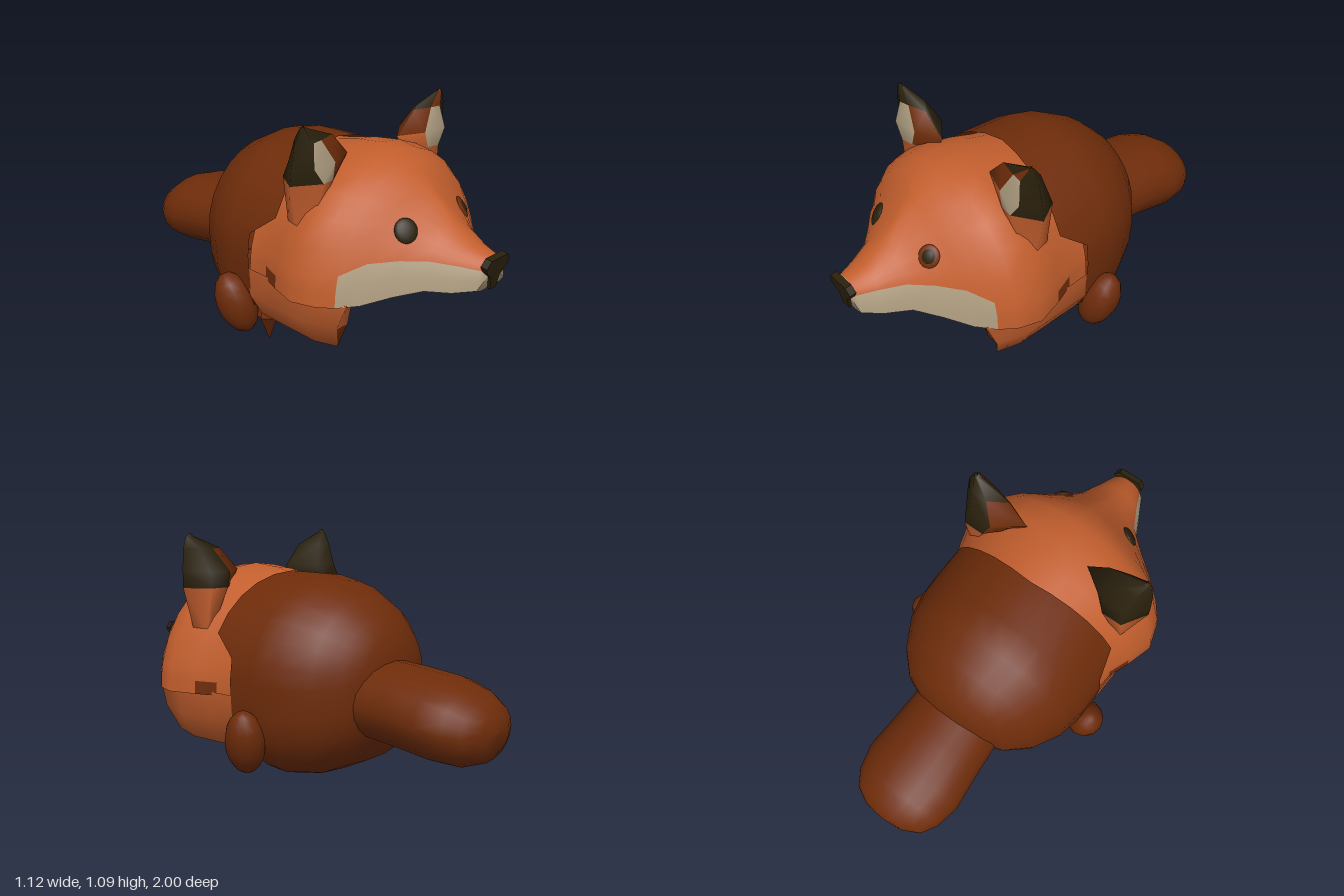
import * as THREE from 'three';

const paint = (name, color) => {
  const m = new THREE.MeshStandardMaterial({ color, side: THREE.DoubleSide });
  m.name = name;
  return m;
};
const MATS = [
  paint('orangeFur', 0xc25e2d),
  paint('brownFur', 0x6e2c0a),
  paint('darkFur', 0x2a200c),
  paint('creamFur', 0xae9d80),
];
const ORANGE = 0, BROWN = 1, DARK = 2, CREAM = 3;
const lerp = THREE.MathUtils.lerp;

// Skins a list of cross-sections; pick(row, column) chooses the colour of each quad
function loft(name, rows, pick, closed = true) {
  const n = rows[0].length, cols = closed ? n : n - 1;
  const lists = MATS.map(() => []);
  for (let i = 0; i < rows.length - 1; i++) {
    for (let j = 0; j < cols; j++) {
      const k = (j + 1) % n, a = i * n + j, b = i * n + k;
      lists[pick(i, j)].push(a, b, a + n, b, b + n, a + n);
    }
  }
  const geo = new THREE.BufferGeometry();
  geo.setAttribute('position', new THREE.Float32BufferAttribute(rows.flat(2), 3));
  geo.setIndex(lists.flat());
  let start = 0;
  lists.forEach((list, m) => {
    if (list.length) geo.addGroup(start, list.length, m);
    start += list.length;
  });
  geo.computeVertexNormals();
  const mesh = new THREE.Mesh(geo, MATS);
  mesh.name = name;
  return mesh;
}

// Rounded section at z; a lower power makes the underside squarer
function ring(z, w, top, bottom, power = 1, count = 28) {
  const mid = (top + bottom) / 2, h = (top - bottom) / 2;
  return Array.from({ length: count }, (_, j) => {
    const a = (j / count) * Math.PI * 2, c = Math.cos(a), s = Math.sin(a);
    const p = s < 0 ? power : 1;
    return [w * Math.sign(c) * Math.abs(c) ** p, mid + h * Math.sign(s) * Math.abs(s) ** p, z];
  });
}

function makeBody() {
  const rows = [
    [-0.49, 0, 0.48, 0.48], [-0.485, 0.09, 0.58, 0.38], [-0.465, 0.18, 0.66, 0.29], [-0.42, 0.28, 0.74, 0.19],
    [-0.33, 0.37, 0.82, 0.09], [-0.2, 0.44, 0.885, 0.03], [-0.08, 0.465, 0.91, 0.008],
  ].map(([z, w, t, b]) => ring(z, w, t, b, 0.72));
  // Open front rim: furthest forward over the top, cut back underneath
  const rimZ = (x, y) => (y > 0.64 ? 0.135 + 0.1 * Math.abs(x) : y > 0.15 ? 0.05 : -0.03);
  rows.push(ring(0, 0.468, 0.912, 0.012, 0.72).map(([x, y]) => [x, y, rimZ(x, y)]));
  return loft('body', rows, () => BROWN);
}

function makeTail() {
  const rows = [
    [-1, 0, 0.33, 0.33], [-0.99, 0.1, 0.4, 0.25], [-0.95, 0.18, 0.45, 0.2], [-0.88, 0.225, 0.495, 0.175],
    [-0.77, 0.25, 0.53, 0.177], [-0.6, 0.235, 0.55, 0.195], [-0.42, 0.225, 0.565, 0.21],
  ].map(([z, w, t, b]) => ring(z, w, t, b, 1, 20));
  return loft('tail', rows, () => BROWN);
}

// Domed head running into the snout; one column follows the top of the pale cheek
function makeHead() {
  const rows = [ // z, half width, top, cheek base, cheek top, underside, pinch of the upper face
    [0.04, 0.45, 0.885, 0.385, 0.5, 0.44, 1],
    [0.15, 0.46, 0.905, 0.385, 0.5, 0.44, 1],
    [0.25, 0.5, 0.925, 0.385, 0.5, 0.44, 1],
    [0.38, 0.54, 0.938, 0.385, 0.5, 0.44, 1],
    [0.48, 0.51, 0.925, 0.385, 0.5, 0.44, 1],
    [0.55, 0.46, 0.895, 0.385, 0.52, 0.44, 1.1],
    [0.62, 0.39, 0.835, 0.395, 0.565, 0.435, 1.35],
    [0.7, 0.29, 0.765, 0.425, 0.57, 0.425, 1.6],
    [0.78, 0.19, 0.69, 0.445, 0.565, 0.425, 1.25],
    [0.88, 0.14, 0.625, 0.453, 0.56, 0.44, 1],
    [0.965, 0.095, 0.6, 0.475, 0.555, 0.465, 1],
  ].map(([z, w, top, base, cheek, under, pinch]) => {
    const h = top - base, a1 = Math.asin((cheek - base) / h);
    const angles = [0, a1 / 2];
    for (let k = 0; k <= 6; k++) angles.push(lerp(a1, Math.PI / 2, k / 6));
    const half = angles.map((a) => [w * Math.abs(Math.cos(a)) ** pinch, base + h * Math.sin(a), z]);
    const other = half.slice(0, -1).reverse().map(([x, y]) => [-x, y, z]);
    // the corner points are doubled to keep the lower edge crisp
    const below = [[-w, base, z], [-0.7 * w, under, z], [0, under, z], [0.7 * w, under, z], [w, base, z]];
    return [...half, ...other, ...below];
  });
  rows.push(rows[0].map(() => [0, 0.54, 0.975]));
  const arc = 16; // columns above the underside
  return loft('head', rows, (i, j) => {
    if (i === rows.length - 2) return CREAM;
    if (j >= arc) return i < 5 && (j === arc + 1 || j === arc + 4) ? BROWN : DARK;
    if (i === 1 && (j === 0 || j === arc - 1)) return BROWN;
    return i >= 5 && (j < 2 || j >= arc - 2) ? CREAM : ORANGE;
  });
}

// Lower jaw: two cheek flaps reach forward, the floor between them stays far back
function makeJaw() {
  const mirror = (half) => [
    ...half.map(([x, y, z]) => [-x, y, z]),
    ...half.slice(0, -1).reverse(),
  ];
  const side = (z, s, floor) => mirror([
    [0.48 * s, 0.4, z], [0.475 * s, 0.27, z], [0.4 * s, 0.15, z], [0.28, 0.142, floor + 0.02], [0, 0.14, floor],
  ]);
  const rows = [
    side(0.04, 0.96, 0.02), side(0.2, 0.98, 0.05), side(0.38, 1, 0.08),
    mirror([[0.43, 0.4, 0.59], [0.435, 0.28, 0.54], [0.385, 0.165, 0.5], [0.28, 0.148, 0.15], [0, 0.145, 0.11]]),
    mirror([[0.37, 0.42, 0.57], [0.36, 0.27, 0.53], [0.345, 0.175, 0.47], [0.25, 0.16, 0.14], [0, 0.157, 0.1]]),
    mirror([[0.25, 0.44, 0.03], [0.28, 0.36, 0.03], [0.2, 0.25, 0.03], [0.1, 0.225, 0.03], [0, 0.21, 0.03]]),
  ];
  return loft('lowerJaw', rows, (i, j) => {
    if (i === 4) return DARK;
    if (i === 3) return j === 0 ? ORANGE : BROWN;
    return j < 2 || j > 5 ? ORANGE : BROWN;
  }, false);
}

function makeEar(isLeft) {
  const rows = [ // y, inner x, outer x, front z, back z, pale patch from, pale patch to
    [0.66, 0.36, 0.44, 0.37, 0.25, 0.3, 0.6],
    [0.85, 0.21, 0.488, 0.405, 0.22, 0.35, 0.58],
    [0.92, 0.16, 0.485, 0.4, 0.24, 0.4, 0.8],
    [1.02, 0.26, 0.475, 0.38, 0.29, 0.42, 0.66],
    [1.075, 0.405, 0.45, 0.362, 0.335, 0.4, 0.6],
    [1.09, 0.43, 0.43, 0.35, 0.35, 0.4, 0.6],
  ].map(([y, xi, xo, zf, zb, from, to]) => {
    const x = (t) => lerp(xi, xo, t), mid = lerp(zb, zf, 0.6);
    return [[xo, y, mid], [x(0.75), y, zb], [x(0.4), y, zb], [xi, y, mid], [x(from), y, zf - 0.01], [x(to), y, zf]];
  });
  return loft('ear', rows, (i, j) => {
    if (i === 0) return ORANGE;
    if (i >= 3) return j === 4 && isLeft ? BROWN : DARK;
    if (j === 4) return CREAM;
    if (j === 3) return i === 1 && isLeft ? ORANGE : BROWN;
    return j === 2 && isLeft ? BROWN : DARK;
  });
}

export function createModel() {
  const model = new THREE.Group();
  model.name = 'fox';
  const head = makeHead();
  model.add(makeBody(), makeTail(), head, makeJaw());

  // Nose with a tapering strip leaning back to the lip
  const nose = new THREE.Shape([
    [-0.055, 0.005], [-0.078, -0.025], [-0.065, -0.05], [-0.03, -0.08], [-0.02, -0.135],
    [0.02, -0.135], [0.03, -0.08], [0.065, -0.05], [0.078, -0.025], [0.055, 0.005],
  ].map(([x, y]) => new THREE.Vector2(x, y)));
  const noseMesh = new THREE.Mesh(new THREE.ExtrudeGeometry(nose, { depth: 0.03, bevelEnabled: false }), MATS[DARK]);
  noseMesh.name = 'nose';
  noseMesh.position.set(0, 0.6, 0.97);
  noseMesh.rotation.x = 0.16;
  model.add(noseMesh);

  // Pointed tuft hanging from the rim on one side
  const tuft = new THREE.Mesh(new THREE.ConeGeometry(0.05, 0.12, 4), MATS[BROWN]);
  tuft.name = 'tuft';
  tuft.position.set(-0.335, 0.06, 0.03);
  tuft.rotation.x = Math.PI;
  model.add(tuft);

  const ray = new THREE.Raycaster();
  for (const s of [1, -1]) {
    const label = s > 0 ? 'left' : 'right';

    const ear = makeEar(s > 0);
    ear.name = label + 'Ear';
    ear.scale.x = s;

    // Eye set flat against the face; the left one has a brown rim
    ray.set(new THREE.Vector3(s * 0.187, 0.675, 2), new THREE.Vector3(0, 0, -1));
    const hit = ray.intersectObject(head)[0];
    const addDisc = (name, size, bulge, color) => {
      const disc = new THREE.Mesh(new THREE.SphereGeometry(1, 16, 10), MATS[color]);
      disc.name = name;
      disc.position.copy(hit.point);
      disc.quaternion.setFromUnitVectors(new THREE.Vector3(0, 0, 1), hit.face.normal);
      disc.scale.set(size * 0.92, size, bulge);
      model.add(disc);
    };
    if (s > 0) addDisc('leftEyeRim', 0.05, 0.012, BROWN);
    addDisc(label + 'Eye', s > 0 ? 0.038 : 0.053, 0.016, DARK);

    // Small paw at the side of the body
    const paw = new THREE.Mesh(new THREE.SphereGeometry(1, 12, 9), MATS[BROWN]);
    paw.name = label + 'Paw';
    paw.position.set(s * 0.465, 0.21, -0.04);
    paw.scale.set(0.088, 0.15, 0.09);
    paw.rotation.set(-0.2, 0, -s * 0.28);

    model.add(ear, paw);
  }
  return model;
}
